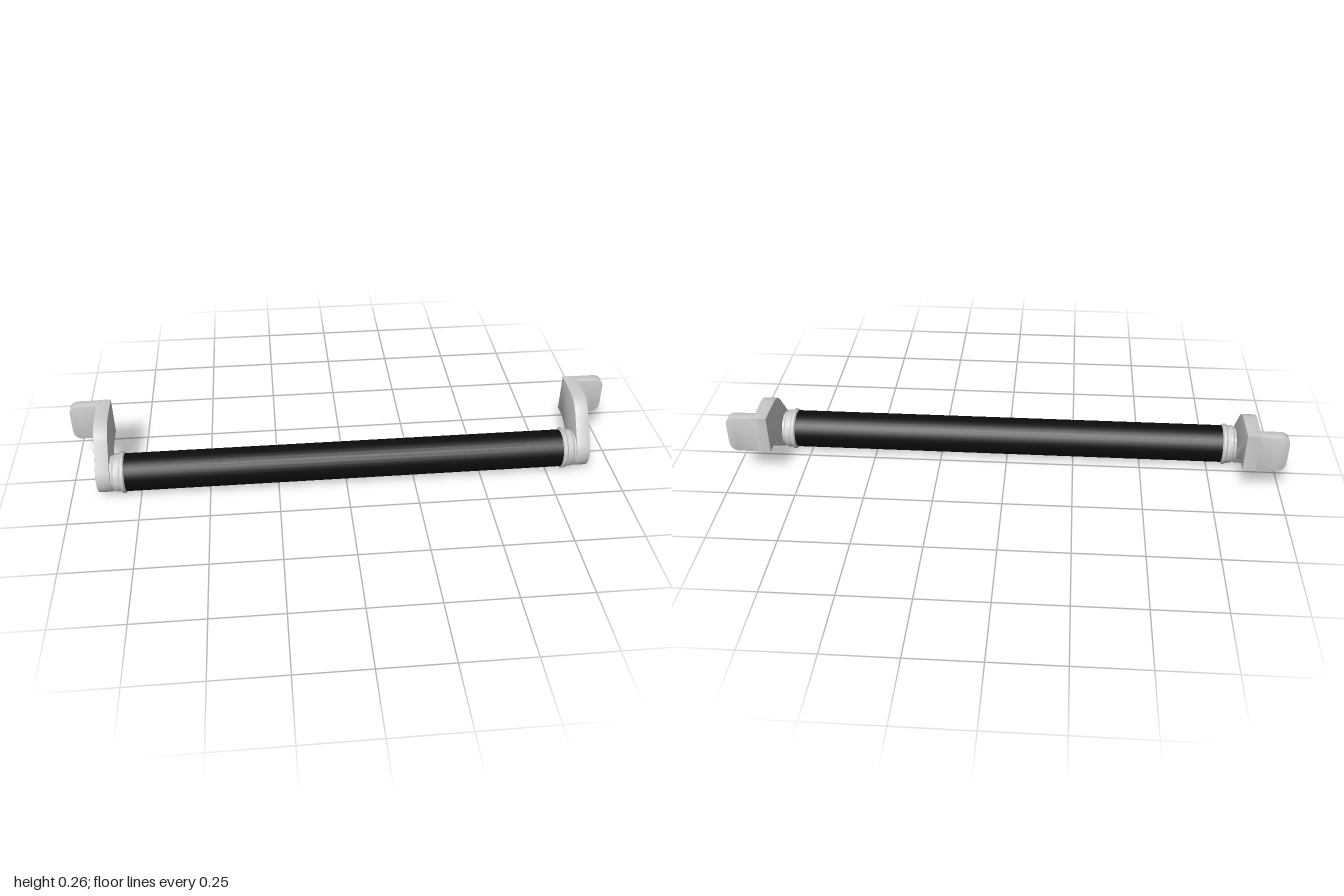
import * as THREE from 'three';
import { toCreasedNormals } from 'three/addons/utils/BufferGeometryUtils.js';

const AXIS_Y = 0.078, AXIS_Z = 0.068; // centre line of the bar
const grey = new THREE.MeshStandardMaterial({ color: 0xcccccc });
const black = new THREE.MeshStandardMaterial({ color: 0x0c0c0c });

function part(name, geometry, material) {
  const mesh = new THREE.Mesh(geometry, material);
  mesh.name = name;
  return mesh;
}

// Extrusion centred on its depth, with a fine rounded edge kept inside the outline
function plate(shape, depth, bevel) {
  const g = new THREE.ExtrudeGeometry(shape, {
    depth: depth - 2 * bevel, curveSegments: 8, bevelEnabled: true,
    bevelThickness: bevel, bevelSize: bevel, bevelOffset: -bevel, bevelSegments: 2,
  });
  g.translate(0, 0, bevel - depth / 2);
  return toCreasedNormals(g, 0.6);
}

// Side outline of the arm, drawn with shape x = -z
function armShape() {
  const s = new THREE.Shape();
  s.moveTo(0.143, 0.258);
  s.lineTo(0.03, 0.258);
  s.bezierCurveTo(-0.01, 0.257, -0.037, 0.238, -0.056, 0.21);
  s.lineTo(-0.122, 0.122);
  s.bezierCurveTo(-0.152, 0.08, -0.127, 0.01, -0.066, 0.01);
  s.bezierCurveTo(-0.035, 0.01, -0.018, 0.026, -0.005, 0.047);
  s.bezierCurveTo(0.02, 0.09, 0.053, 0.113, 0.105, 0.114);
  s.lineTo(0.143, 0.114);
  s.closePath();
  return s;
}

// Wall flange with its two outer corners rounded
function flangeShape() {
  const w = 0.12, h = 0.072, r = 0.032;
  const s = new THREE.Shape();
  s.moveTo(0, -h);
  s.lineTo(w - r, -h);
  s.absarc(w - r, -h + r, r, -Math.PI / 2, 0);
  s.absarc(w - r, h - r, r, 0, Math.PI / 2);
  s.lineTo(0, h);
  s.closePath();
  return s;
}

// Stepped collar, turned around the bar
function collarGeometry() {
  const profile = [
    [0, 0.80], [0.072, 0.80], [0.077, 0.804], [0.077, 0.813], [0.072, 0.818],
    [0.071, 0.838], [0.065, 0.843], [0.065, 0.856], [0, 0.856],
  ].map(([r, x]) => new THREE.Vector2(r, x));
  return toCreasedNormals(new THREE.LatheGeometry(profile, 11), 0.65);
}

export function createModel() {
  const model = new THREE.Group();
  model.name = 'barHandle';

  // Long bar
  const bar = part('bar', new THREE.CylinderGeometry(0.069, 0.069, 1.61, 32), black);
  bar.rotation.z = Math.PI / 2;
  bar.position.set(0, AXIS_Y, AXIS_Z);
  model.add(bar);

  const arm = plate(armShape(), 0.05, 0.003);
  const flange = plate(flangeShape(), 0.038, 0.003);
  const collar = collarGeometry();

  // A bracket at each end
  for (const side of [1, -1]) {
    const bracket = new THREE.Group();
    bracket.name = side > 0 ? 'leftBracket' : 'rightBracket';

    const armMesh = part('arm', arm, grey);
    armMesh.rotation.y = Math.PI / 2;
    armMesh.position.x = side * 0.875;

    const flangeMesh = part('wallFlange', flange, grey);
    flangeMesh.rotation.z = side > 0 ? 0 : Math.PI;
    flangeMesh.position.set(side * 0.88, 0.186, -0.124);

    const collarMesh = part('collar', collar, grey);
    collarMesh.rotation.z = -side * Math.PI / 2;
    collarMesh.position.set(0, AXIS_Y, AXIS_Z);

    bracket.add(armMesh, flangeMesh, collarMesh);
    model.add(bracket);
  }
  return model;
}
